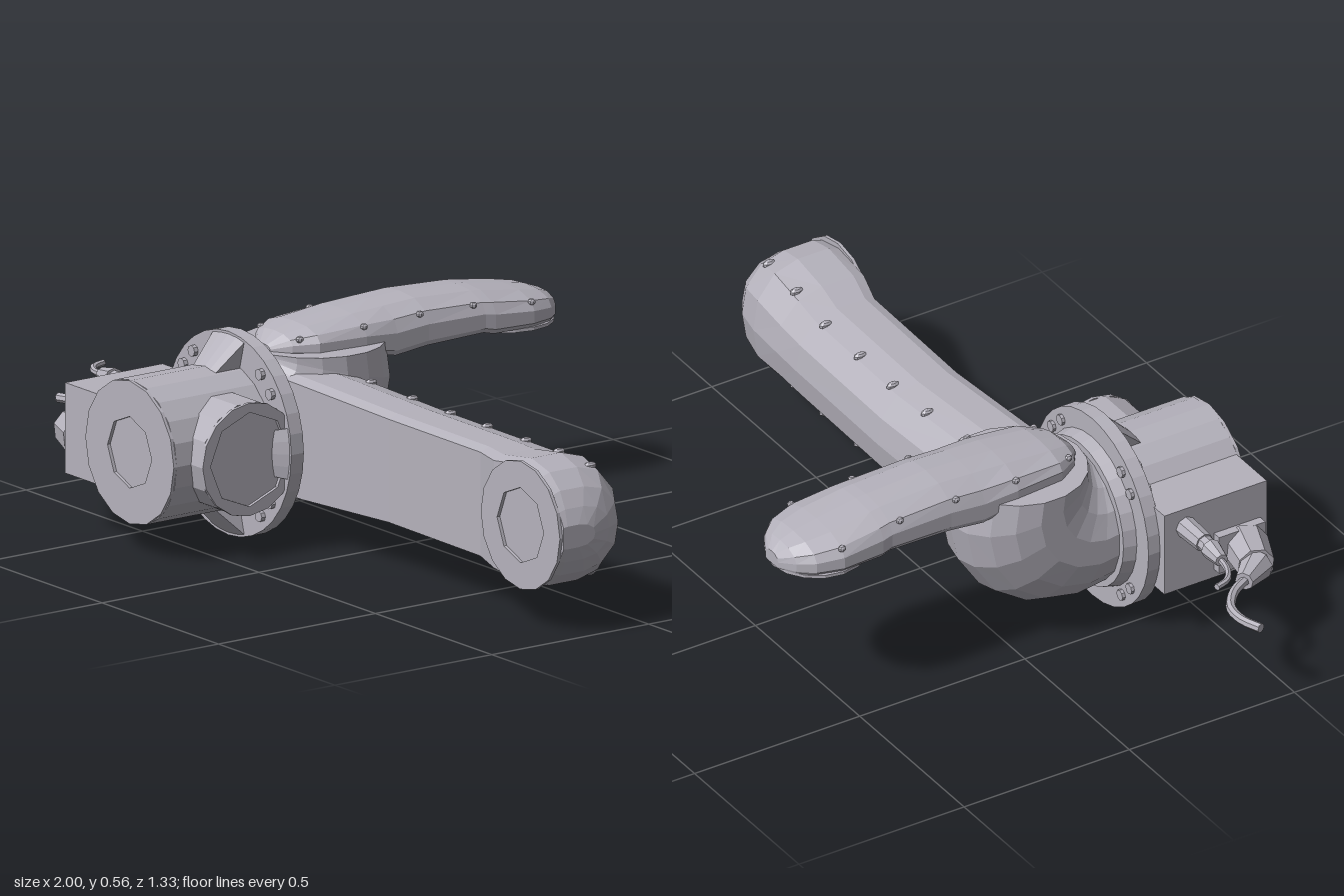
import * as THREE from 'three';

const V = (x, y, z) => new THREE.Vector3(x, y, z);
const grey = new THREE.MeshStandardMaterial({ color: 0xb5b2bc, flatShading: true, side: THREE.DoubleSide });
grey.name = 'light grey';

// Closed skin over a list of equal-length loops, wound so that faces point outwards
function skin(loops) {
  const tris = [];
  const n = loops[0].length;
  const mid = (l) => l.reduce((s, p) => s.add(p), V(0, 0, 0)).divideScalar(n);
  for (let i = 0; i + 1 < loops.length; i++) {
    for (let j = 0; j < n; j++) {
      const k = (j + 1) % n, a = loops[i], b = loops[i + 1];
      tris.push([a[j], a[k], b[k]], [a[j], b[k], b[j]]);
    }
  }
  const first = loops[0], last = loops[loops.length - 1];
  const c0 = mid(first), c1 = mid(last);
  for (let j = 0; j < n; j++) {
    const k = (j + 1) % n;
    tris.push([c0, first[k], first[j]], [c1, last[j], last[k]]);
  }
  const volume = tris.reduce((s, [a, b, c]) => s + a.dot(b.clone().cross(c)), 0);
  const points = tris.flatMap(([a, b, c]) => (volume < 0 ? [a, c, b] : [a, b, c]));
  const g = new THREE.BufferGeometry().setFromPoints(points);
  g.computeVertexNormals();
  return g;
}

// Arm cross-section: across (-1..1) and from flat face to crown (0..1)
const half = [[0.93, 0], [1, 0.12], [1, 0.48], [0.88, 0.75], [0.5, 0.95]];
const section = [...half, [0, 1], ...half.map(([a, b]) => [-a, b]).reverse()];

// stations: [position, half width, flat face, crown]
const armSkin = (stations, place) => skin(stations.map(([u, w, f, c]) =>
  section.map(([a, b]) => place(u, a * w, f + (c - f) * b))));

function station(stations, u) {
  let i = 0;
  while (i < stations.length - 2 && stations[i + 1][0] < u) i++;
  const p = stations[i], q = stations[i + 1], t = (u - p[0]) / (q[0] - p[0]);
  return p.map((v, k) => v + (q[k] - v) * t);
}

export function createModel() {
  const model = new THREE.Group();
  const add = (name, geometry, x = 0, y = 0, z = 0, parent = model) => {
    const m = new THREE.Mesh(geometry, grey);
    m.name = name;
    m.position.set(x, y, z);
    parent.add(m);
    return m;
  };
  // Round bar between two points
  const rod = (name, a, b, ra, rb = ra, sides = 16) => {
    const d = b.clone().sub(a);
    const m = add(name, new THREE.CylinderGeometry(rb, ra, d.length(), sides));
    m.position.copy(a).addScaledVector(d, 0.5);
    m.quaternion.setFromUnitVectors(V(0, 1, 0), d.normalize());
    return m;
  };
  // Thin ring with an octagonal recess, facing the given direction
  const ring = (name, p, dir, outer, inner) => {
    const s = new THREE.Shape().absarc(0, 0, outer, 0, Math.PI * 2, false);
    const hole = new THREE.Path();
    for (let i = 0; i < 8; i++) {
      const t = -i * Math.PI / 4;
      hole[i ? 'lineTo' : 'moveTo'](Math.cos(t) * inner, Math.sin(t) * inner);
    }
    hole.closePath();
    s.holes.push(hole);
    const m = add(name, new THREE.ExtrudeGeometry(s, { depth: 0.009, bevelEnabled: false, curveSegments: 8 }));
    m.position.copy(p);
    m.quaternion.setFromUnitVectors(V(0, 0, 1), dir);
  };
  const bolt = (name, p, sx, sy, sz) =>
    add(name, new THREE.SphereGeometry(1, 8, 5), p.x, p.y, p.z).scale.set(sx, sy, sz);

  const X = -0.34, Y = 0.27;

  // Base drum, mounting plate and service ports
  rod('baseDrum', V(X, Y, 0.3), V(X, Y, 0.651), 0.19, 0.19, 20);
  ring('baseFace', V(X, Y, 0.651), V(0, 0, 1), 0.19, 0.095);
  rod('mountingFlange', V(X, Y, 0.305), V(X, Y, 0.345), 0.27, 0.27, 32);
  rod('bearingRing', V(X, Y, 0.27), V(X, Y, 0.31), 0.205, 0.215, 28);
  add('cableBox', new THREE.BoxGeometry(0.23, 0.24, 0.31), -0.515, Y, 0.495);
  rod('sidePort', V(-0.3, Y, 0.455), V(-0.109, Y, 0.455), 0.15, 0.15, 14);
  ring('sidePortFace', V(-0.109, Y, 0.455), V(1, 0, 0), 0.15, 0.125);

  // Sloped webs behind the flange, with bolts between them
  for (let q = 0; q < 4; q++) {
    const loops = [];
    for (let i = 0; i <= 4; i++) {
      const t = q * Math.PI / 2 + (i - 2) * 0.13;
      loops.push([[0.268, 0.34], [0.18, 0.43], [0.18, 0.34]].map(([r, z]) =>
        V(X + Math.cos(t) * r, Y + Math.sin(t) * r, z)));
    }
    add('flangeWeb', skin(loops));
    for (const o of [-0.13, 0.13]) {
      const t = (q + 0.5) * Math.PI / 2 + o;
      rod('flangeBolt', V(X + Math.cos(t) * 0.237, Y + Math.sin(t) * 0.237, 0.296),
        V(X + Math.cos(t) * 0.237, Y + Math.sin(t) * 0.237, 0.357), 0.015, 0.015, 8);
    }
  }

  // Shoulder elbow turning from the base axis to the upright axis
  const elbow = [];
  for (let i = 0; i <= 6; i++) {
    const t = i / 6 * Math.PI / 2;
    const inner = 0.02, outer = 0.39 + 0.06 * Math.sin(2 * t);
    const loop = [];
    for (let j = 0; j < 18; j++) {
      const p = j / 18 * Math.PI * 2;
      const r = (inner + outer) / 2 + Math.cos(p) * (outer - inner) / 2;
      loop.push(V(X + Math.sin(p) * 0.188, 0.475 - r * Math.cos(t), 0.28 - r * Math.sin(t)));
    }
    elbow.push(loop);
  }
  add('shoulderElbow', skin(elbow));

  // Long arm reaching to the left
  const long = [
    [-0.34, 0.165, 0.25, 0.04], [-0.15, 0.162, 0.25, 0.005], [0.2, 0.147, 0.235, -0.004],
    [0.6, 0.148, 0.24, 0.002], [0.7, 0.153, 0.271, 0.006], [0.82, 0.17, 0.271, 0.012],
    [0.9, 0.15, 0.271, 0.028], [0.95, 0.112, 0.271, 0.06], [0.98, 0.07, 0.271, 0.11], [1, 0.03, 0.271, 0.17]];
  const placeLong = (u, a, f) => V(u, Y + a, f);
  add('longArm', armSkin(long, placeLong));
  ring('longArmJoint', V(0.826, Y, 0.271), V(0, 0, 1), 0.17, 0.1);
  for (const u of [-0.09, 0.08, 0.24, 0.4, 0.57, 0.73, 0.88]) {
    const [, w, f, c] = station(long, u);
    for (const s of [-1, 1]) {
      bolt('longArmBolt', placeLong(u, s * w * 0.9, f + (c - f) * 0.7), 0.011, 0.011, 0.02);
    }
  }

  // Short arm lying over the elbow and reaching to the back
  const short = [
    [-0.235, 0.03, 0.47, 0.49], [-0.2, 0.08, 0.47, 0.52], [-0.14, 0.118, 0.465, 0.536],
    [0, 0.13, 0.45, 0.55], [0.1, 0.128, 0.43, 0.556], [0.2, 0.126, 0.44, 0.56], [0.38, 0.128, 0.445, 0.55],
    [0.41, 0.132, 0.438, 0.547], [0.53, 0.136, 0.438, 0.528], [0.6, 0.114, 0.438, 0.515],
    [0.64, 0.078, 0.438, 0.5], [0.665, 0.03, 0.438, 0.475]];
  const placeShort = (u, a, f) => V(X + a, f, -u);
  add('shortArm', armSkin(short, placeShort));
  ring('shortArmJoint', V(X, 0.438, -0.53), V(0, -1, 0), 0.132, 0.09);
  for (const u of [-0.18, 0, 0.18, 0.35, 0.53]) {
    const [, w, f, c] = station(short, u);
    for (const s of [-1, 1]) {
      bolt('shortArmBolt', placeShort(u, s * w * 0.9, f + (c - f) * 0.72), 0.009, 0.009, 0.011);
    }
  }

  // Plugs and cables
  const cable = (name, pts, r) => {
    add(name, new THREE.TubeGeometry(new THREE.CatmullRomCurve3(pts), 14, r, 7));
    rod(name + 'End', pts.at(-1), pts.at(-1).clone().lerp(pts.at(-2), 0.03), r, r, 7);
  };
  rod('smallPlug', V(-0.62, 0.335, 0.405), V(-0.72, 0.335, 0.405), 0.03, 0.026, 8);
  rod('smallPlugNut', V(-0.72, 0.335, 0.405), V(-0.75, 0.335, 0.405), 0.022, 0.022, 8);
  rod('smallPlugGland', V(-0.75, 0.335, 0.405), V(-0.81, 0.333, 0.4), 0.028, 0.018, 8);
  cable('smallCable', [V(-0.79, 0.333, 0.402), V(-0.85, 0.33, 0.392), V(-0.89, 0.33, 0.365), V(-0.905, 0.33, 0.325)], 0.009);
  add('largePlugBase', new THREE.BoxGeometry(0.03, 0.11, 0.14), -0.64, 0.23, 0.56);
  rod('largePlug', V(-0.645, 0.23, 0.575), V(-0.745, 0.23, 0.545), 0.062, 0.05, 8);
  rod('largePlugGland', V(-0.74, 0.23, 0.55), V(-0.79, 0.23, 0.48), 0.045, 0.025, 8);
  cable('largeCable', [V(-0.78, 0.23, 0.5), V(-0.82, 0.23, 0.43), V(-0.88, 0.23, 0.385), V(-0.94, 0.23, 0.38), V(-0.998, 0.23, 0.4)], 0.013);

  return model;
}
